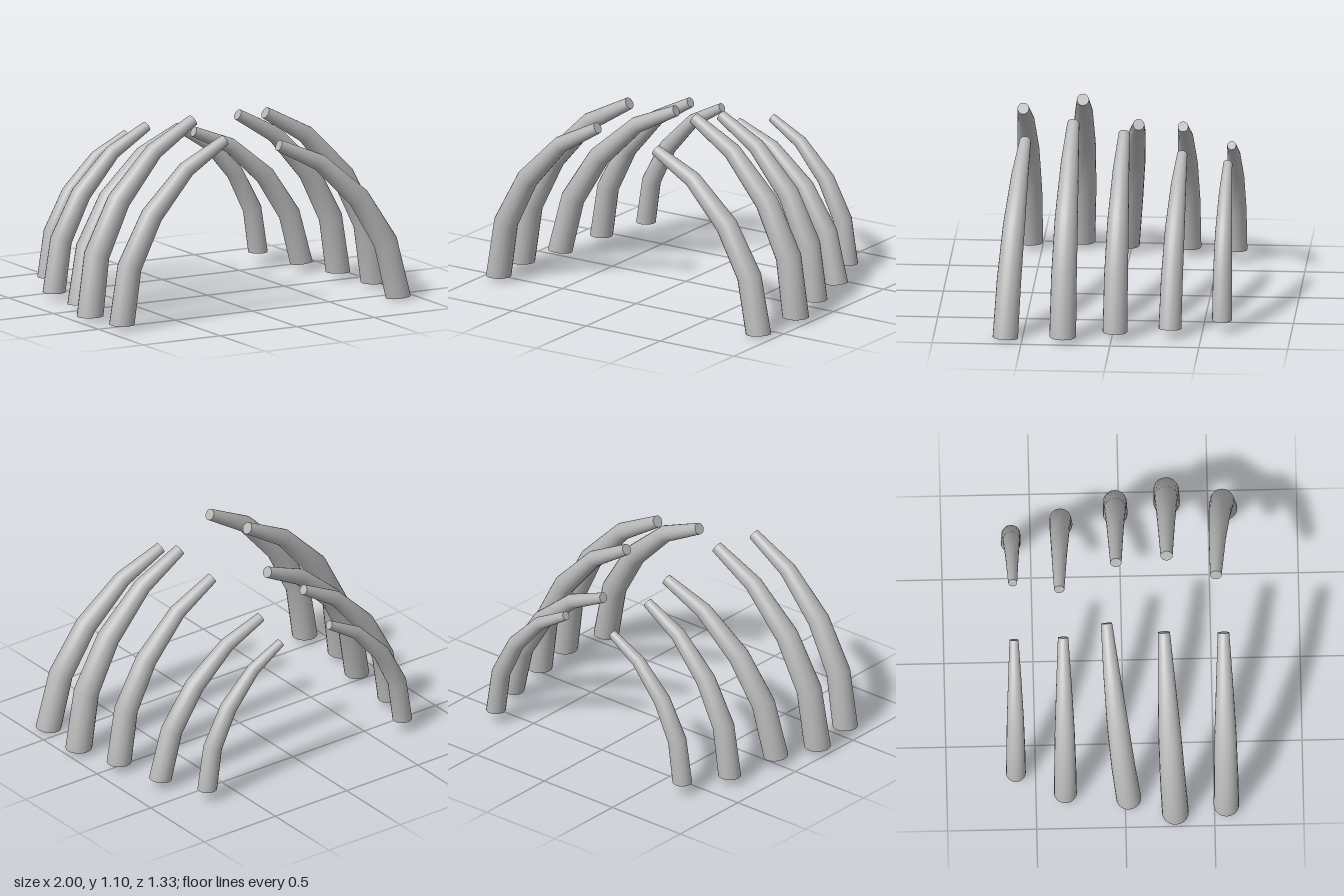
import * as THREE from 'three';

// Rib spine from its base, relative to a full-size left rib: [x, y, radius]
const SPINE = [[0, 0, 0.075], [-0.05, 0.34, 0.072], [-0.2, 0.635, 0.065], [-0.435, 0.89, 0.05], [-0.695, 1.04, 0.034]];
const SIDES = 20;

// Tapered, bent tube with flat end caps
function ribGeometry() {
  const pos = [], idx = [], last = SPINE.length - 1;
  const ring = (k) => {
    const [x, y, r] = SPINE[k];
    const p = SPINE[Math.max(k - 1, 0)], n = SPINE[Math.min(k + 1, last)];
    const t = new THREE.Vector2(n[0] - p[0], n[1] - p[1]).normalize();
    if (k === 0) t.set(0, 1); // the base is cut level
    for (let i = 0; i < SIDES; i++) {
      const a = (i / SIDES) * Math.PI * 2, c = Math.cos(a) * r;
      pos.push(x + t.y * c, y - t.x * c, Math.sin(a) * r);
    }
  };
  SPINE.forEach((_, k) => ring(k));
  for (let k = 0; k < last; k++) {
    for (let i = 0; i < SIDES; i++) {
      const j = (i + 1) % SIDES, a = k * SIDES + i, b = k * SIDES + j;
      idx.push(a, a + SIDES, b, b, a + SIDES, b + SIDES);
    }
  }
  // caps use their own vertices so their rims stay sharp
  for (const k of [0, last]) {
    const s = pos.length / 3;
    ring(k);
    for (let i = 1; i < SIDES - 1; i++) {
      if (k === 0) idx.push(s, s + i, s + i + 1);
      else idx.push(s, s + i + 1, s + i);
    }
  }
  const g = new THREE.BufferGeometry();
  g.setAttribute('position', new THREE.Float32BufferAttribute(pos, 3));
  g.setIndex(idx);
  g.computeVertexNormals();
  return g;
}

// Base and tip centre of every rib, front to back
const LEFT = [
  [[0.893, 0.013, 0.595], [0.155, 0.945, 0.53]],
  [[0.925, 0.035, 0.27], [0.228, 1.075, 0.255]],
  [[0.86, 0.05, -0.02], [0.215, 1.015, -0.03]],
  [[0.8, 0.055, -0.325], [0.115, 0.87, -0.35]],
  [[0.685, 0.075, -0.61], [0.17, 0.84, -0.61]],
];
const RIGHT = [
  [[-0.886, 0.035, 0.567], [-0.217, 1.02, 0.565]],
  [[-0.925, 0.035, 0.28], [-0.228, 1.075, 0.23]],
  [[-0.84, 0.046, 0.02], [-0.128, 0.965, -0.09]],
  [[-0.8, 0.05, -0.335], [-0.197, 0.937, -0.335]],
  [[-0.685, 0.075, -0.61], [-0.17, 0.84, -0.61]],
];

export function createModel() {
  const group = new THREE.Group();
  group.name = 'ribs';
  const bone = new THREE.MeshStandardMaterial({ color: 0xb8b8b8 });
  bone.name = 'grey bone';
  const geometry = ribGeometry();
  const [tx, ty] = SPINE[SPINE.length - 1];

  // Scale and turn the shared rib so that it spans base to tip
  const addRib = (name, [base, tip], side) => {
    const from = new THREE.Vector3(...base);
    const chord = new THREE.Vector3(...tip).sub(from);
    const rest = new THREE.Vector3(tx * side, ty, 0);
    const rib = new THREE.Mesh(geometry, bone);
    rib.name = name;
    rib.position.copy(from);
    rib.scale.setScalar(chord.length() / rest.length());
    rib.quaternion.setFromUnitVectors(rest.normalize(), chord.normalize());
    if (side < 0) rib.rotateY(Math.PI);
    group.add(rib);
  };
  LEFT.forEach((ends, i) => addRib(`leftRib${i + 1}`, ends, 1));
  RIGHT.forEach((ends, i) => addRib(`rightRib${i + 1}`, ends, -1));
  return group;
}
